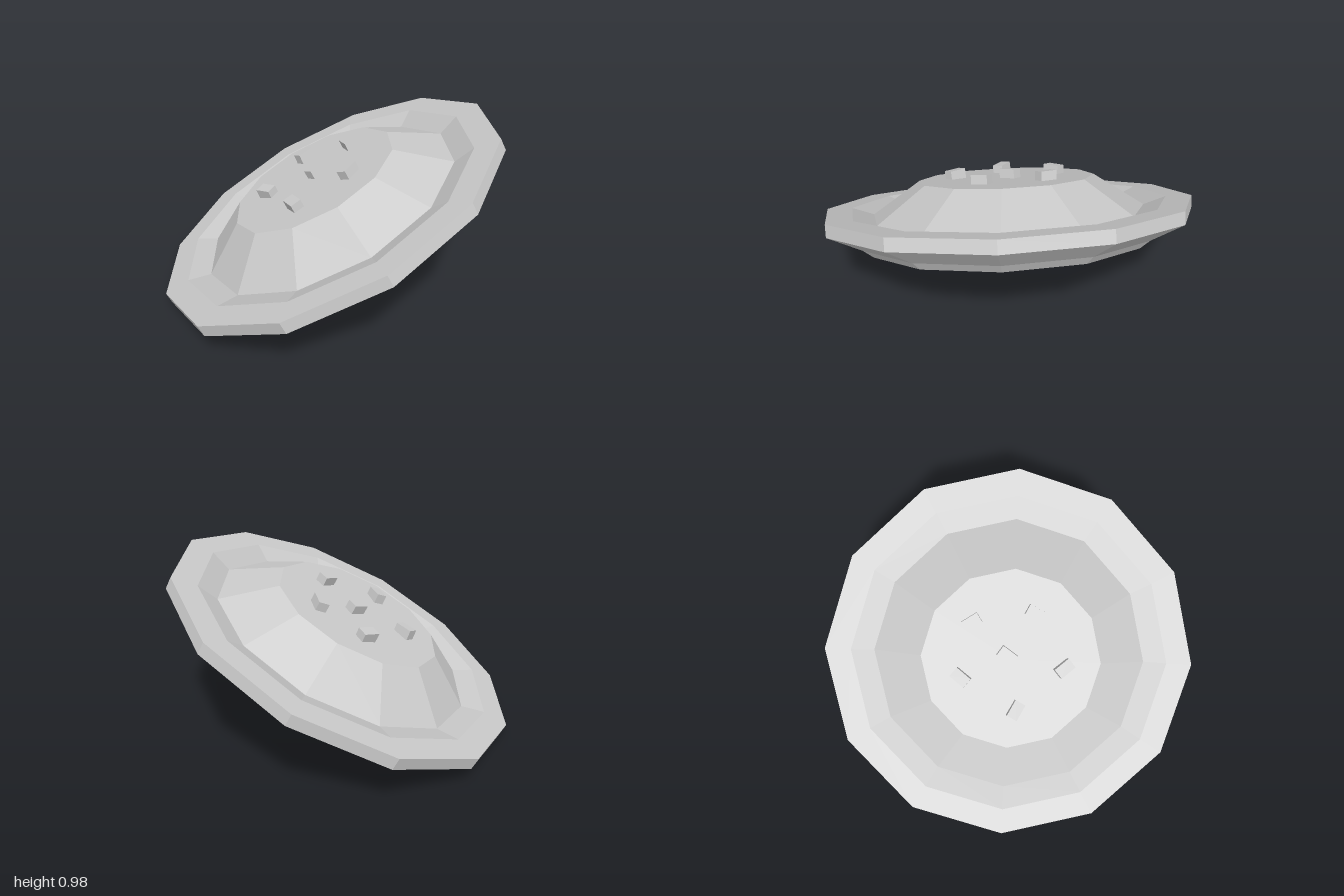
import * as THREE from 'three';

const material = new THREE.MeshStandardMaterial({ color: 0xcccccc, flatShading: true });

// Twelve-sided solid of revolution from [radius, height] pairs
function turned(name, profile) {
  const points = profile.map(([r, y]) => new THREE.Vector2(r, y));
  const geometry = new THREE.LatheGeometry(points, 12, THREE.MathUtils.degToRad(22.5));
  const mesh = new THREE.Mesh(geometry, material);
  mesh.name = name;
  return mesh;
}

export function createModel() {
  const group = new THREE.Group();
  group.name = 'tiltedDish';

  // Everything is built level, then tilted as one
  const tilted = new THREE.Group();
  tilted.name = 'dishAssembly';
  tilted.position.set(-0.02, 0.53, 0);
  tilted.rotation.z = 0.468;
  group.add(tilted);

  // Dish: flat underside, flared wall, thick rim and shallow trough
  tilted.add(turned('dish', [
    [0, -0.2], [0.775, -0.2], [0.83, -0.157], [1.008, -0.067],
    [1.008, 0], [0.868, 0], [0.747, -0.04],
  ]));

  // Raised centre: sloping sides and a flat top
  tilted.add(turned('raisedCentre', [[0.747, -0.04], [0.478, 0.139], [0, 0.139]]));

  // Small loose blocks on the flat top: x, z, direction along x and z, tilt
  const blocks = [
    [-0.068, -0.275, 0.09, -0.09, -0.1],
    [0.217, -0.19, 0.05, 0.1, 0],
    [-0.27, 0, 0.1, 0.07, -0.15],
    [0.027, -0.02, 0.075, -0.085, 0],
    [0.234, 0.145, 0.06, -0.09, 0],
    [-0.068, 0.275, 0.06, 0.09, -0.1],
  ];
  const blockGeometry = new THREE.BoxGeometry(0.095, 0.055, 0.06);
  blocks.forEach(([x, z, dx, dz, tilt], i) => {
    const block = new THREE.Mesh(blockGeometry, material);
    block.name = `block${i + 1}`;
    block.position.set(x, 0.161, z);
    block.rotation.set(0, Math.atan2(-dz, dx), tilt);
    tilted.add(block);
  });

  return group;
}
